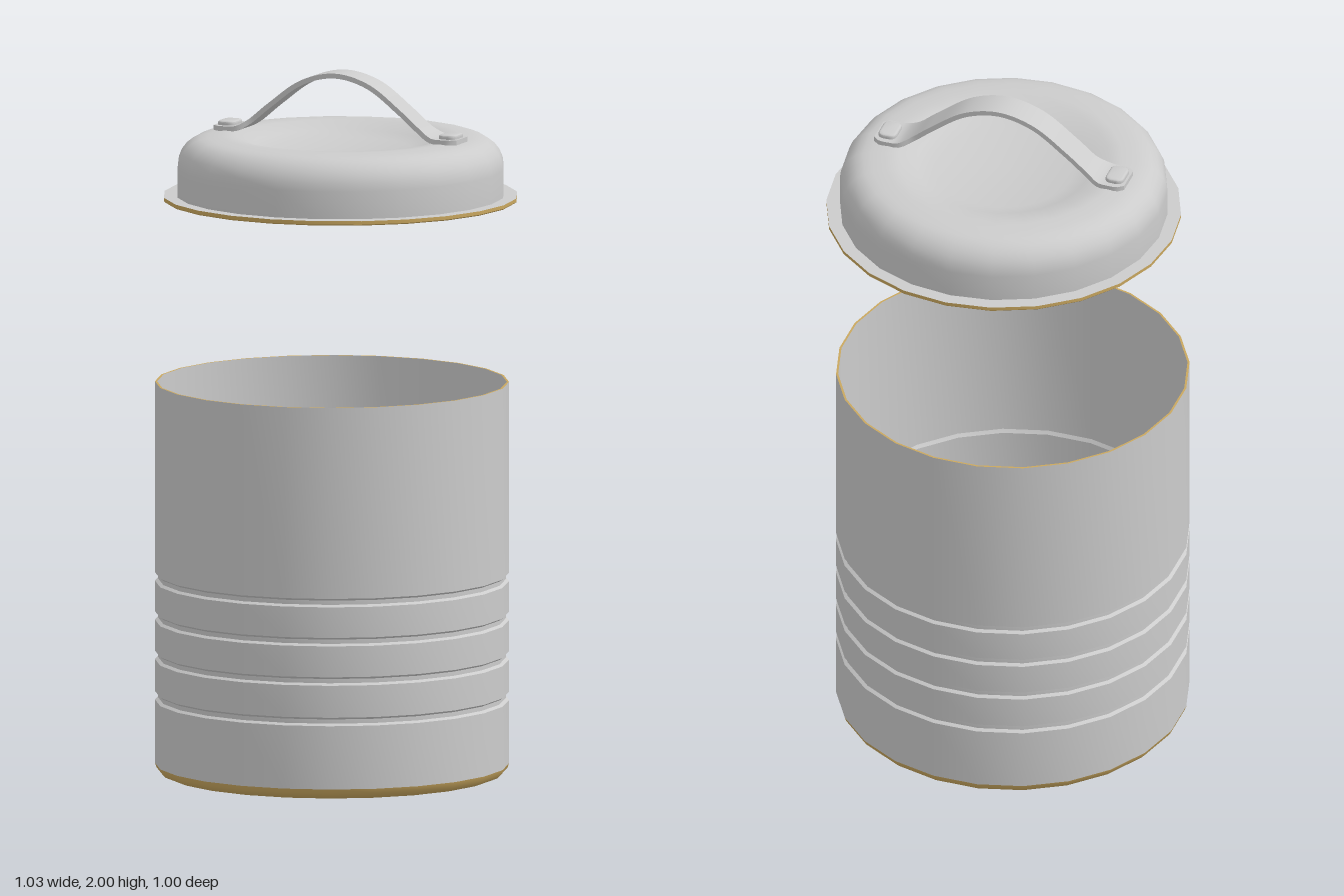
import * as THREE from 'three';
import { toCreasedNormals } from 'three/addons/utils/BufferGeometryUtils.js';

const SIDES = 24;
const grey = new THREE.MeshStandardMaterial({ color: 0xcccccc });
const gold = new THREE.MeshStandardMaterial({ color: 0xc9a75f });

function part(name, geometry, material, crease = 0.5) {
  const mesh = new THREE.Mesh(toCreasedNormals(geometry, crease), material);
  mesh.name = name;
  return mesh;
}

function turned(name, profile, material, start = 0) {
  const points = profile.map(([r, y]) => new THREE.Vector2(r, y));
  return part(name, new THREE.LatheGeometry(points, SIDES, start), material);
}

function createCanister() {
  const group = new THREE.Group();
  group.name = 'canister';
  const R = 0.498, wall = 0.006, top = 1.115, turn = Math.PI / SIDES;

  // Outer wall with four narrow pressed grooves
  const outer = [[R, 0.03]];
  for (const y of [0.222, 0.337, 0.449, 0.56]) {
    outer.push([R, y - 0.012], [R - 0.009, y - 0.006], [R - 0.009, y + 0.006], [R, y + 0.012]);
  }
  outer.push([R, top]);
  group.add(turned('outerWall', outer, grey, turn));

  // Inside of the pot, down to its floor
  group.add(turned('innerWall', [[R - wall, top], [R - wall, 0.57], [R - 0.012, 0.56], [R - 0.012, 0.03], [0, 0.03]], grey, turn));

  // Thin lip and rounded base
  group.add(turned('lip', [[R, top], [R - wall, top]], gold, turn));
  group.add(turned('base', [[0, 0], [0.468, 0], [0.483, 0.006], [0.494, 0.018], [R, 0.03]], gold, turn));
  group.position.set(-0.019, 0, -0.003);
  return group;
}

function createHandle() {
  const group = new THREE.Group();
  group.name = 'handle';

  // Side outline of the arched strap with flat feet
  const half = [[0.372, 1.825], [0.335, 1.825], [0.3, 1.827], [0.265, 1.845], [0.2, 1.898], [0.1, 1.969]];
  const path = new THREE.CatmullRomCurve3([
    ...half.map(([u, y]) => new THREE.Vector3(-u, y, 0)),
    new THREE.Vector3(0, 1.993, 0),
    ...half.slice().reverse().map(([u, y]) => new THREE.Vector3(u, y, 0)),
  ]);

  // Bend a thin bar along the path, widening it at both feet
  const strap = new THREE.BoxGeometry(1, 0.014, 1, 56, 1, 6);
  const pos = strap.attributes.position;
  for (let i = 0; i < pos.count; i++) {
    const t = pos.getX(i) + 0.5, h = pos.getY(i), w = pos.getZ(i);
    const p = path.getPointAt(t), d = path.getTangentAt(t);
    const u = Math.abs(p.x);
    const flare = THREE.MathUtils.smoothstep(u, 0.25, 0.3);
    const round = THREE.MathUtils.smoothstep(u, 0.345, 0.372);
    const width = 0.084 + 0.024 * flare - 0.03 * round * round;
    pos.setXYZ(i, p.x - d.y * h, p.y + d.x * h, w * width);
  }
  group.add(part('strap', strap, grey, 0.7));

  // Rounded square rivet on each foot
  const a = 0.019, b = 0.03, c = 0.012;
  const outline = new THREE.Shape();
  outline.moveTo(-a + c, -b);
  outline.lineTo(a - c, -b).quadraticCurveTo(a, -b, a, -b + c);
  outline.lineTo(a, b - c).quadraticCurveTo(a, b, a - c, b);
  outline.lineTo(-a + c, b).quadraticCurveTo(-a, b, -a, b - c);
  outline.lineTo(-a, -b + c).quadraticCurveTo(-a, -b, -a + c, -b);
  for (const side of [-1, 1]) {
    const g = new THREE.ExtrudeGeometry(outline, {
      depth: 0.006, bevelThickness: 0.006, bevelSize: 0.008, bevelSegments: 3, curveSegments: 4,
    });
    g.rotateX(-Math.PI / 2);
    const rivet = part('rivet', g, grey, 0.7);
    rivet.position.set(side * 0.338, 1.832, 0);
    group.add(rivet);
  }
  group.rotation.y = THREE.MathUtils.degToRad(15);
  return group;
}

function createLid() {
  const group = new THREE.Group();
  group.name = 'lid';

  // Flange, rounded shoulder, then a shallow dish in the top
  const shell = [[0.5, 1.65], [0.462, 1.65], [0.462, 1.728]];
  for (let i = 1; i <= 6; i++) {
    const a = (i / 6) * Math.PI / 2;
    shell.push([0.375 + 0.087 * Math.cos(a), 1.728 + 0.088 * Math.sin(a)]);
  }
  shell.push([0.335, 1.82], [0.297, 1.818], [0.245, 1.797], [0.197, 1.784], [0, 1.784]);
  group.add(turned('lidShell', shell, grey));

  // Coloured rim edge and closed underside
  group.add(turned('lidUnderside', [[0, 1.637], [0.497, 1.637], [0.5, 1.64], [0.5, 1.65]], gold));
  group.add(createHandle());
  group.position.x = 0.014;
  return group;
}

export function createModel() {
  const model = new THREE.Group();
  model.name = 'liddedCanister';
  model.add(createCanister(), createLid());
  return model;
}
